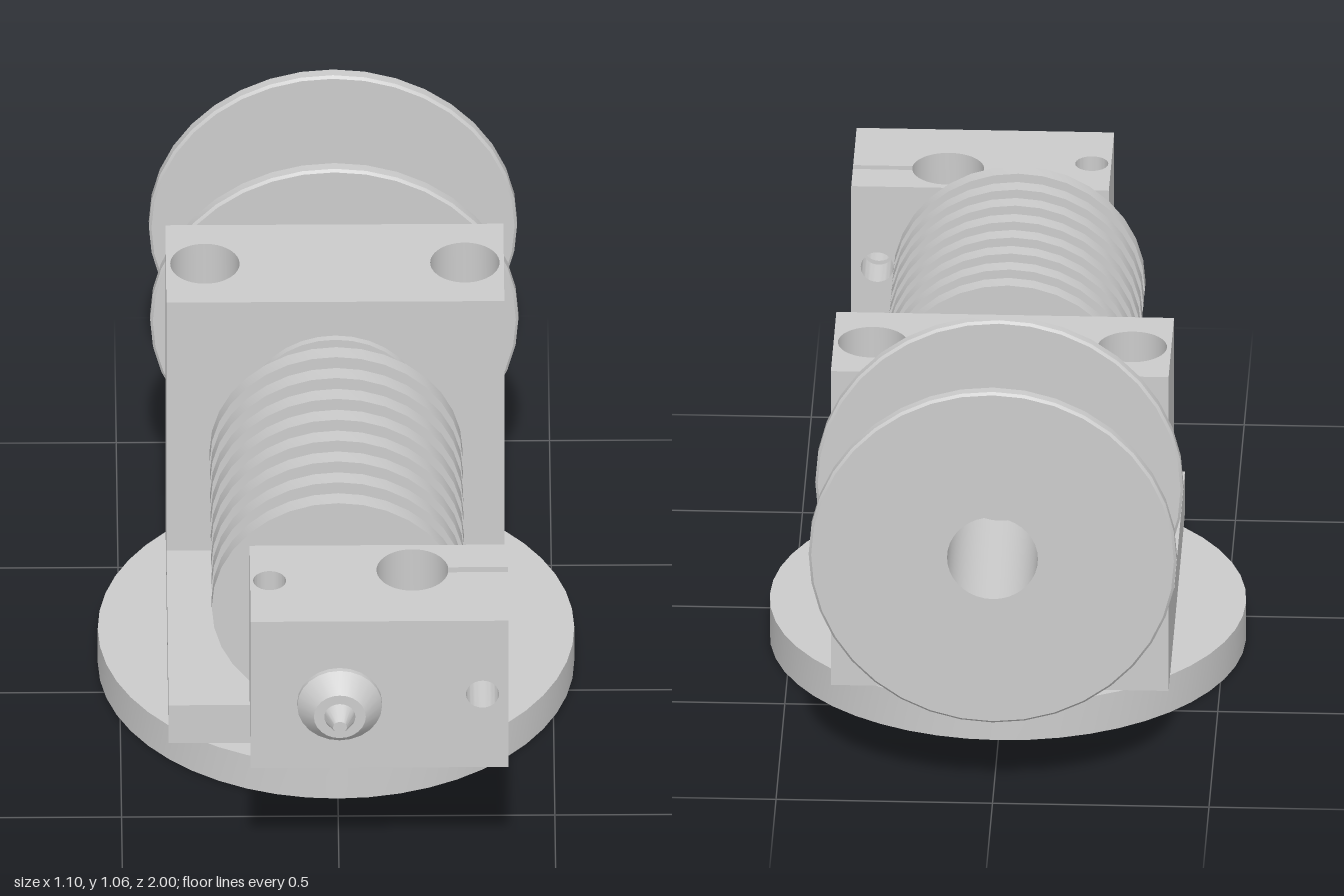
import * as THREE from 'three';
import { toCreasedNormals } from 'three/addons/utils/BufferGeometryUtils.js';

export function createModel() {
  const model = new THREE.Group();
  const material = new THREE.MeshStandardMaterial({ color: 0xcccccc });

  const add = (name, geometry, x = 0, y = 0, z = 0) => {
    const mesh = new THREE.Mesh(toCreasedNormals(geometry, 0.5), material);
    mesh.name = name;
    mesh.position.set(x, y, z);
    model.add(mesh);
    return mesh;
  };
  // Turned part around the z axis; profile is [radius, z] from back to front
  const turned = (profile, segments = 32) =>
    new THREE.LatheGeometry(profile.map(([r, z]) => new THREE.Vector2(r, z)), segments)
      .rotateX(Math.PI / 2);
  // Plan shape (x, -z) extruded upwards
  const extrudeUp = (shape, depth) =>
    new THREE.ExtrudeGeometry(shape, { depth, bevelEnabled: false, curveSegments: 24 })
      .rotateX(-Math.PI / 2);
  const polygon = (points) => new THREE.Shape(points.map(([x, y]) => new THREE.Vector2(x, y)));
  const drill = (shape, x, y, r) =>
    shape.holes.push(new THREE.Path().absarc(x, y, r, 0, Math.PI * 2, true));

  // Round base
  add('base', new THREE.CylinderGeometry(0.55, 0.55, 0.095, 48), 0, 0.0475, -0.12);

  // L-shaped bracket: foot plate and upright with two vertical bores
  add('bracketFoot', new THREE.BoxGeometry(0.78, 0.107, 0.62), 0, 0.1485, 0.03);
  const upright = polygon([[-0.39, 0.28], [0.39, 0.28], [0.39, 0.59], [-0.39, 0.59]]);
  for (const side of [-1, 1]) drill(upright, side * 0.3, 0.435, 0.08);
  add('bracketUpright', extrudeUp(upright, 0.807), 0, 0.095, 0);

  // Spool with a bore through the hub
  const R = 0.425, c = 0.006;
  add('spool', turned([
    [0.105, -1], [R - c, -1], [R, -1 + c], [R, -0.965 - c], [R - c, -0.965],
    [0.14, -0.965], [0.14, -0.625],
    [R - c, -0.625], [R, -0.625 + c], [R, -0.59 - c], [R - c, -0.59],
    [0.105, -0.59], [0.105, -1],
  ], 36), 0, 0.63, 0);

  // Finned heat sink on a tapered core
  const axisY = 0.602;
  const coreRadius = (z) => 0.115 + (z + 0.28) * 0.071;
  const fins = [[-0.283, 0.205], [-0.192, 0.205]];
  for (let i = 0; i < 8; i++) fins.push([-0.09 + i * 0.0836, 0.292]);
  const sink = [[0, -0.303]];
  for (const [z, r] of fins) {
    const back = z - 0.02, front = z + 0.02;
    sink.push([coreRadius(back), back], [r, back], [r, front], [coreRadius(front), front]);
  }
  sink.push([0, 0.515]);
  add('heatSink', turned(sink), 0, axisY, 0);
  add('heatBreak', turned([[0.04, 0.5], [0.04, 0.58]], 24), 0, axisY, 0);

  // Heater block: body with a clamped cartridge bore and a sensor bore
  const bottom = 0.397, height = 0.413;
  const boreR = 0.083, a = Math.asin(0.01 / boreR), split = 0.28;
  const body = polygon([[-0.205, -0.87], [split, -0.87], [split, -0.675]]);
  body.absarc(0.17, -0.665, boreR, -a, a, true);
  body.lineTo(split, -0.655);
  body.lineTo(split, -0.565);
  body.lineTo(-0.205, -0.565);
  drill(body, -0.16, -0.705, 0.038);
  add('heaterBlock', extrudeUp(body, height), 0, bottom, 0);

  // Clamp jaws either side of the slot, with the screw hole running along z
  for (const [name, z, depth] of [['rearClampJaw', 0.565, 0.09], ['frontClampJaw', 0.675, 0.195]]) {
    const jaw = polygon([[split, bottom], [0.39, bottom], [0.39, bottom + height], [split, bottom + height]]);
    drill(jaw, 0.33, 0.603, 0.038);
    add(name, new THREE.ExtrudeGeometry(jaw, { depth, bevelEnabled: false, curveSegments: 20 }), 0, 0, z);
  }

  // Nozzle
  add('nozzle', turned([
    [0.06, 0.86], [0.062, 0.875], [0.098, 0.9], [0.098, 0.912], [0.06, 0.957],
    [0.036, 0.957], [0.016, 1], [0, 1],
  ], 24), 0, axisY, 0);

  return model;
}
